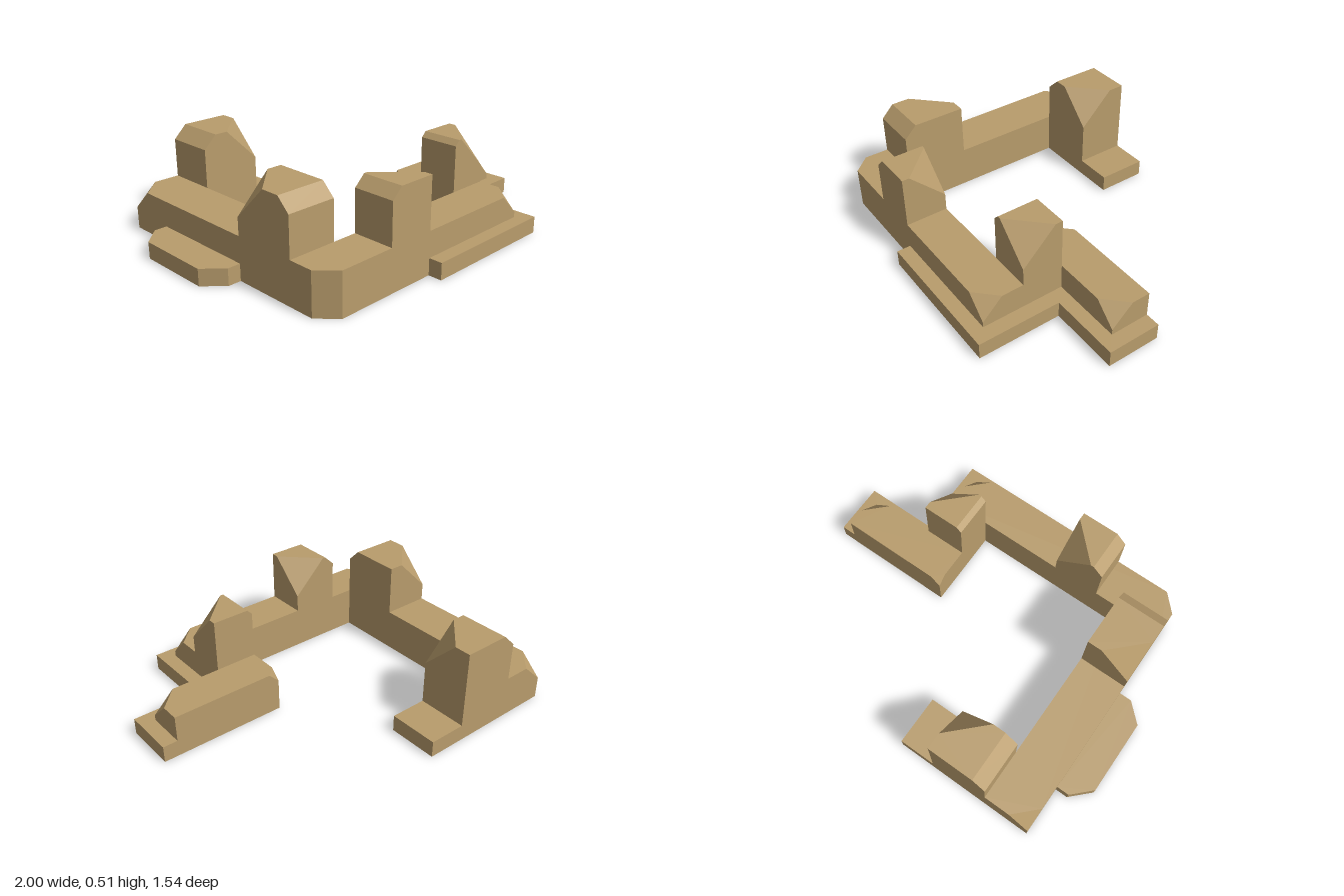
import * as THREE from 'three';
import { ConvexGeometry } from 'three/addons/geometries/ConvexGeometry.js';

const PLATE = 0.09, WALL = 0.23, TOWER = 0.51;

// Box between two corners; each cut is [[side x, y, z], [cut length along x, y, z]].
// A zero length leaves that axis uncut, so two such cuts bevel a whole edge.
function cutBlock(min, max, cuts) {
  const points = [];
  for (const sx of [-1, 1]) for (const sy of [-1, 1]) for (const sz of [-1, 1]) {
    const side = [sx, sy, sz];
    const corner = side.map((s, i) => (s > 0 ? max[i] : min[i]));
    const cut = cuts.find(([c]) => c.every((s, i) => s === side[i]));
    if (!cut) {
      points.push(new THREE.Vector3(...corner));
      continue;
    }
    cut[1].forEach((length, axis) => {
      if (length === 0) return;
      const p = [...corner];
      p[axis] -= side[axis] * length;
      points.push(new THREE.Vector3(...p));
    });
  }
  return new ConvexGeometry(points);
}

// Flat plate from an outline in x and z
function plate(outline) {
  const shape = new THREE.Shape(outline.map(([x, z]) => new THREE.Vector2(x, z)));
  const geometry = new THREE.ExtrudeGeometry(shape, { depth: PLATE, bevelEnabled: false });
  return geometry.rotateX(Math.PI / 2).translate(0, PLATE, 0);
}

export function createModel() {
  const model = new THREE.Group();
  model.name = 'ruinedWalls';
  const stone = new THREE.MeshStandardMaterial({ color: 0xb89c6c, flatShading: true });
  stone.name = 'sandstone';

  const add = (name, geometry) => {
    const mesh = new THREE.Mesh(geometry, stone);
    mesh.name = name;
    model.add(mesh);
  };
  const block = (name, min, max, cuts = []) => add(name, cutBlock(min, max, cuts));

  // Low walls
  block('leftWall', [-0.83, 0, -0.775], [-0.565, WALL, 0.465],
    [[[-1, 1, -1], [0.12, 0.11, 0.12]]]);
  block('frontWall', [-0.83, 0, 0.465], [0.535, WALL, 0.695], [
    [[-1, -1, 1], [0.09, 0, 0.095]],
    [[-1, 1, 1], [0.09, 0, 0.095]],
    [[1, 1, 1], [0.11, 0.11, 0.11]],
  ]);
  block('rightWall', [0.305, 0, 0.025], [0.92, WALL, 0.24], [
    [[1, 1, 1], [0.115, 0.11, 0.115]],
    [[-1, 1, -1], [0.055, 0.055, 0.055]],
  ]);

  // Towers, each with one bevelled edge and one broken corner
  block('leftTower', [-0.83, WALL, 0.11], [-0.565, TOWER, 0.465], [
    [[-1, 1, 1], [0, 0.068, 0.068]],
    [[1, 1, 1], [0, 0.068, 0.068]],
    [[-1, 1, -1], [0.185, 0.185, 0.185]],
  ]);
  block('frontTower', [-0.43, WALL, 0.465], [-0.165, TOWER, 0.695], [
    [[-1, 1, -1], [0.058, 0.055, 0]],
    [[-1, 1, 1], [0.058, 0.055, 0]],
    [[1, 1, -1], [0.19, 0.185, 0.19]],
  ]);
  block('backTower', [-0.565, 0, -0.775], [-0.235, TOWER, -0.5], [
    [[-1, 1, -1], [0.073, 0.07, 0]],
    [[-1, 1, 1], [0.073, 0.07, 0]],
    [[1, 1, 1], [0.185, 0.185, 0.185]],
  ]);
  block('rightTower', [0.305, 0, 0.24], [0.535, TOWER, 0.465], [
    [[-1, 1, -1], [0.028, 0.028, 0]],
    [[-1, 1, 1], [0.028, 0.028, 0]],
    [[1, 1, 1], [0.185, 0.185, 0.185]],
  ]);

  // Foundation plates around the outside
  add('backPlate', plate([[-0.235, -0.775], [-0.03, -0.775], [-0.03, -0.5], [-0.235, -0.5]]));
  add('leftPlate', plate([
    [-0.83, -0.5], [-0.83, 0.11], [-0.9, 0.11], [-1, 0.015], [-1, -0.4], [-0.9, -0.5],
  ]));
  add('rightPlate', plate([
    [-0.165, 0.77], [0.615, 0.77], [0.615, 0.315], [1, 0.315], [1, 0.025],
    [0.92, 0.025], [0.92, 0.24], [0.535, 0.24], [0.535, 0.695], [-0.165, 0.695],
  ]));

  return model;
}
